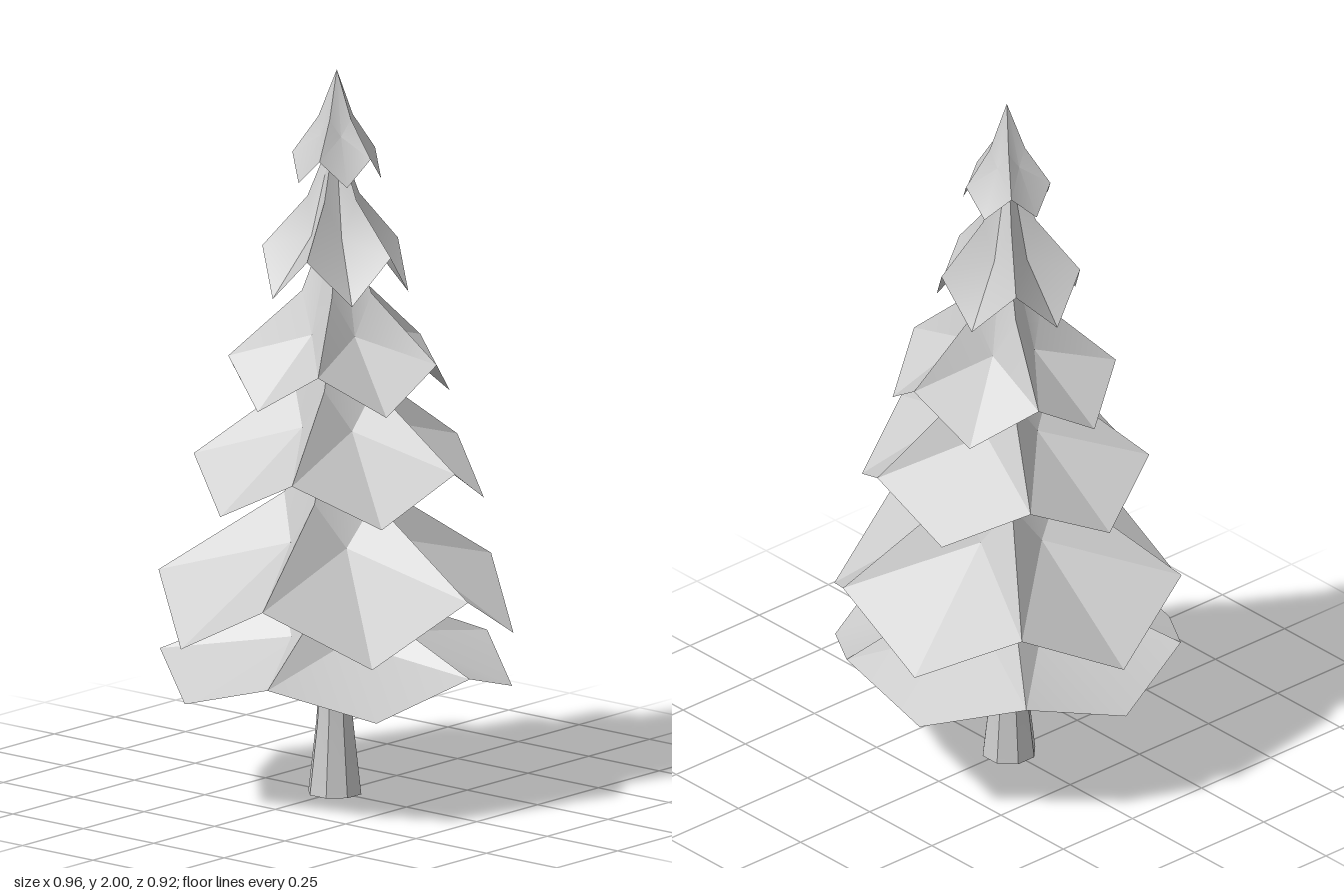
import * as THREE from 'three';
import { toCreasedNormals } from 'three/addons/utils/BufferGeometryUtils.js';

const SIDES = 10;

// One open skirt of boughs: five raised ridges alternate with five drooping valleys.
// rim / mid: [radius, ridge height, valley height]; turn in degrees.
function boughTier({ rim, mid, apex, turn = 0, x = 0, z = 0 }) {
  const positions = [0, apex, 0];
  const index = [];
  for (const [r, ridge, valley] of [mid, rim]) {
    for (let i = 0; i < SIDES; i++) {
      const a = THREE.MathUtils.degToRad(turn + i * 360 / SIDES);
      positions.push(r * Math.cos(a), i % 2 ? valley : ridge, r * Math.sin(a));
    }
  }
  for (let i = 0; i < SIDES; i++) {
    const j = (i + 1) % SIDES;
    const [m0, m1] = [1 + i, 1 + j];
    const [r0, r1] = [m0 + SIDES, m1 + SIDES];
    index.push(0, m1, m0);
    // Split every quad the same way on both sides of a ridge
    if (i % 2) index.push(m0, m1, r1, m0, r1, r0);
    else index.push(m0, m1, r0, m1, r1, r0);
  }
  const geometry = new THREE.BufferGeometry();
  geometry.setAttribute('position', new THREE.Float32BufferAttribute(positions, 3));
  geometry.setIndex(index);
  geometry.translate(x, 0, z);
  return toCreasedNormals(geometry, 0.4);
}

export function createModel() {
  const tree = new THREE.Group();
  tree.name = 'pineTree';
  const material = new THREE.MeshStandardMaterial({ color: 0xcccccc, side: THREE.DoubleSide });

  // Trunk: flared foot, slim taper hidden inside the boughs
  const profile = [[0, 0], [0.075, 0], [0.052, 0.2], [0.043, 0.36], [0.035, 0.9], [0.012, 1.85]]
    .map(([r, y]) => new THREE.Vector2(r, y));
  const trunk = new THREE.Mesh(toCreasedNormals(new THREE.LatheGeometry(profile, 8, Math.PI / 8), 0.5), material);
  trunk.name = 'trunk';
  trunk.position.x = -0.004;
  tree.add(trunk);

  // Bough tiers from the ground up
  const tiers = [
    { rim: [0.475, 0.39, 0.305], mid: [0.14, 0.53, 0.45], apex: 0.75 },
    { rim: [0.48, 0.605, 0.455], mid: [0.14, 0.83, 0.71], apex: 1.12, turn: 1.5 },
    { rim: [0.39, 0.94, 0.82], mid: [0.12, 1.14, 1.03], apex: 1.42, turn: -4, x: 0.01 },
    { rim: [0.3, 1.215, 1.1], mid: [0.1, 1.39, 1.28], apex: 1.66, turn: -12, x: -0.005, z: -0.018 },
    { rim: [0.197, 1.51, 1.39], mid: [0.075, 1.65, 1.55], apex: 1.84, x: -0.005, z: -0.003 },
    { rim: [0.12, 1.77, 1.7], mid: [0.05, 1.87, 1.825], apex: 2, x: -0.004, z: -0.008 },
  ];
  tiers.forEach((tier, i) => {
    const mesh = new THREE.Mesh(boughTier(tier), material);
    mesh.name = `boughTier${i + 1}`;
    tree.add(mesh);
  });
  return tree;
}
